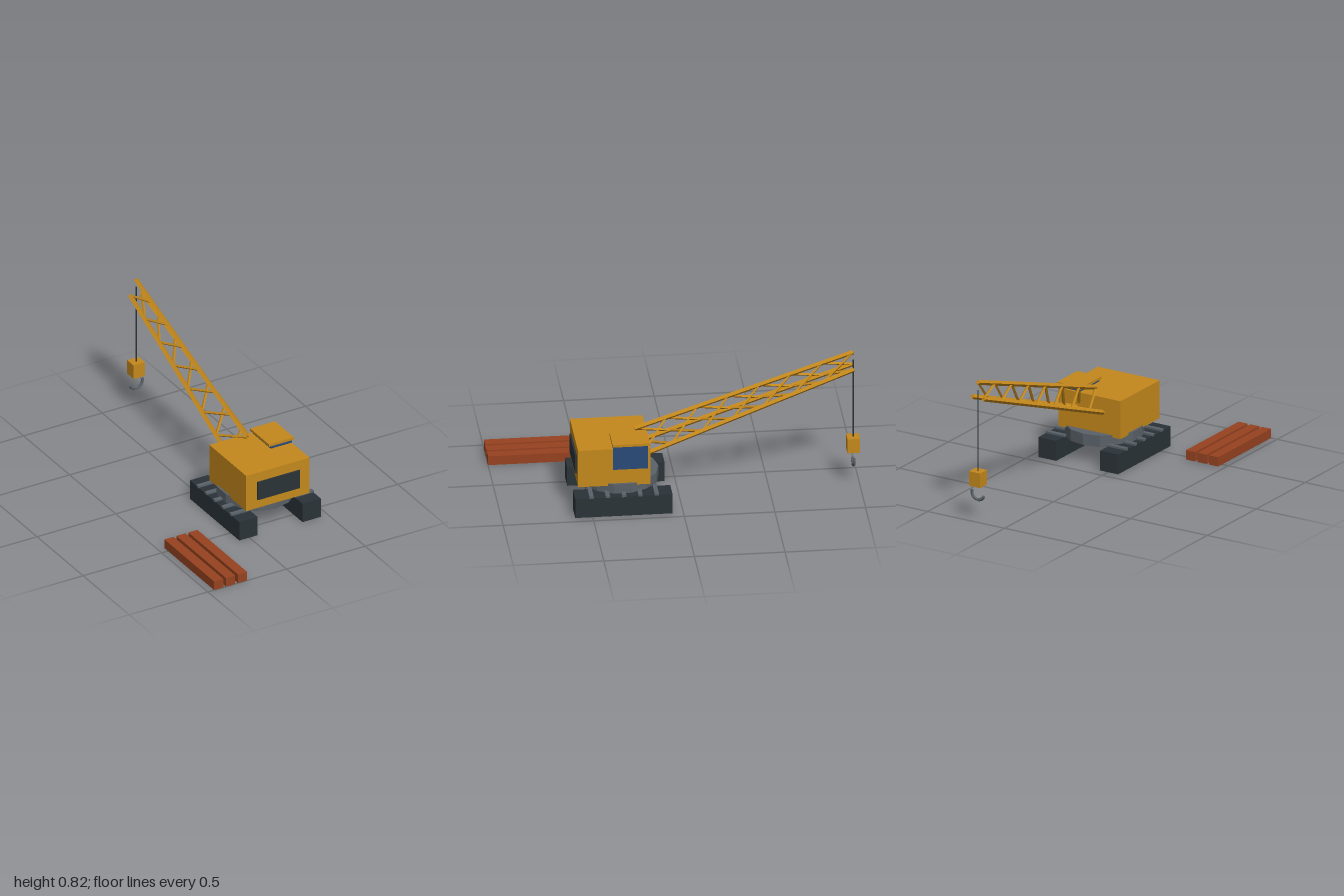
import * as THREE from 'three';

const paint = (color) => new THREE.MeshStandardMaterial({ color, flatShading: true });
const YELLOW = paint(0xc4881c);
const DARK = paint(0x2a3338);
const STEEL = paint(0x596168);
const GLASS = paint(0x294a78);
const WOOD = paint(0x96421f);
const CX = 0.195; // crane centre line

export function createModel() {
  const model = new THREE.Group();

  const add = (parent, name, geometry, material) => {
    const mesh = new THREE.Mesh(geometry, material);
    mesh.name = name;
    parent.add(mesh);
    return mesh;
  };
  // Box given by its extents on each axis
  const box = (parent, name, [x0, x1], [y0, y1], [z0, z1], material) => {
    const mesh = add(parent, name, new THREE.BoxGeometry(x1 - x0, y1 - y0, z1 - z0), material);
    mesh.position.set((x0 + x1) / 2, (y0 + y1) / 2, (z0 + z1) / 2);
    return mesh;
  };
  // Four-sided bar between two points, one edge facing up
  const bar = (parent, name, a, b, radius, material, sides = 4) => {
    const length = a.distanceTo(b);
    const geometry = new THREE.CylinderGeometry(radius, radius, length, sides);
    geometry.rotateX(Math.PI / 2);
    const mesh = add(parent, name, geometry, material);
    mesh.position.copy(a).add(b).multiplyScalar(0.5);
    mesh.lookAt(b);
    return mesh;
  };
  const group = (name) => {
    const g = new THREE.Group();
    g.name = name;
    model.add(g);
    return g;
  };

  // Crawler tracks with raised cleats
  for (const side of [-1, 1]) {
    const track = group(side < 0 ? 'rightTrack' : 'leftTrack');
    const x = CX + side * 0.201;
    box(track, 'trackBody', [x - 0.058, x + 0.058], [0, 0.116], [0.06, 0.597], DARK);
    for (let i = 0; i < 5; i++) {
      const z = 0.147 + i * 0.09;
      box(track, 'cleat', [x - 0.061, x + 0.061], [0.114, 0.127], [z - 0.012, z + 0.012], STEEL);
    }
  }

  // Turntable
  add(model, 'turntable', new THREE.CylinderGeometry(0.22, 0.22, 0.066, 14), STEEL)
    .position.set(CX, 0.138, 0.33);

  // Machine house and its rear panel
  box(model, 'house', [-0.007, 0.395], [0.158, 0.38], [0.175, 0.575], YELLOW);
  box(model, 'rearPanel', [0.062, 0.33], [0.212, 0.323], [0.56, 0.585], DARK);

  // Cab
  const cab = group('cab');
  box(cab, 'cabWindow', [0.262, 0.398], [0.255, 0.397], [0.19, 0.382], GLASS);
  box(cab, 'cabRoof', [0.25, 0.408], [0.396, 0.411], [0.178, 0.385], YELLOW);

  // Lattice boom: three chords, laced in order round the triangle
  const boom = group('boom');
  const v = (x, y, z) => new THREE.Vector3(x, y, z);
  const chords = [
    [v(CX, 0.402, 0.24), v(CX, 0.803, -0.965)],
    [v(CX - 0.089, 0.28, 0.21), v(CX - 0.036, 0.713, -0.965)],
    [v(CX + 0.089, 0.28, 0.21), v(CX + 0.036, 0.713, -0.965)],
  ];
  for (const [a, b] of chords) bar(boom, 'chord', a, b, 0.014, YELLOW);
  const bays = 7;
  const node = (c, i) => chords[c][0].clone().lerp(chords[c][1], i / bays);
  for (let i = 0; i < bays; i++)
    for (let c = 0; c < 3; c++)
      bar(boom, 'lacing', node(c, i), node((c + 1) % 3, i + 1), 0.008, YELLOW);

  // Cable, hook block and hook
  const hoist = group('hoist');
  bar(hoist, 'cable', v(CX, 0.28, -0.965), v(CX, 0.757, -0.965), 0.004, DARK, 6);
  box(hoist, 'hookBlock', [CX - 0.036, CX + 0.036], [0.203, 0.288], [-1, -0.93], YELLOW);
  const hook = add(hoist, 'hook', new THREE.TorusGeometry(0.04, 0.009, 6, 12, Math.PI), STEEL);
  hook.position.set(CX, 0.158, -0.965);
  hook.rotation.z = Math.PI + 0.36;
  // Closed ends of the hook
  for (const angle of [0, Math.PI]) {
    const cap = add(hook, 'hookEnd', new THREE.CircleGeometry(0.009, 6), STEEL);
    cap.position.set(0.04 * Math.cos(angle), 0, 0);
    cap.rotation.x = angle === 0 ? Math.PI / 2 : Math.PI / 2;
  }

  // Stacked timber beside the crane
  const timber = group('timber');
  for (let i = 0; i < 3; i++) {
    const x = -0.46 + i * 0.076;
    box(timber, 'beam', [x, x + 0.058], [0, 0.054], [0.46, 1], WOOD);
  }

  return model;
}
